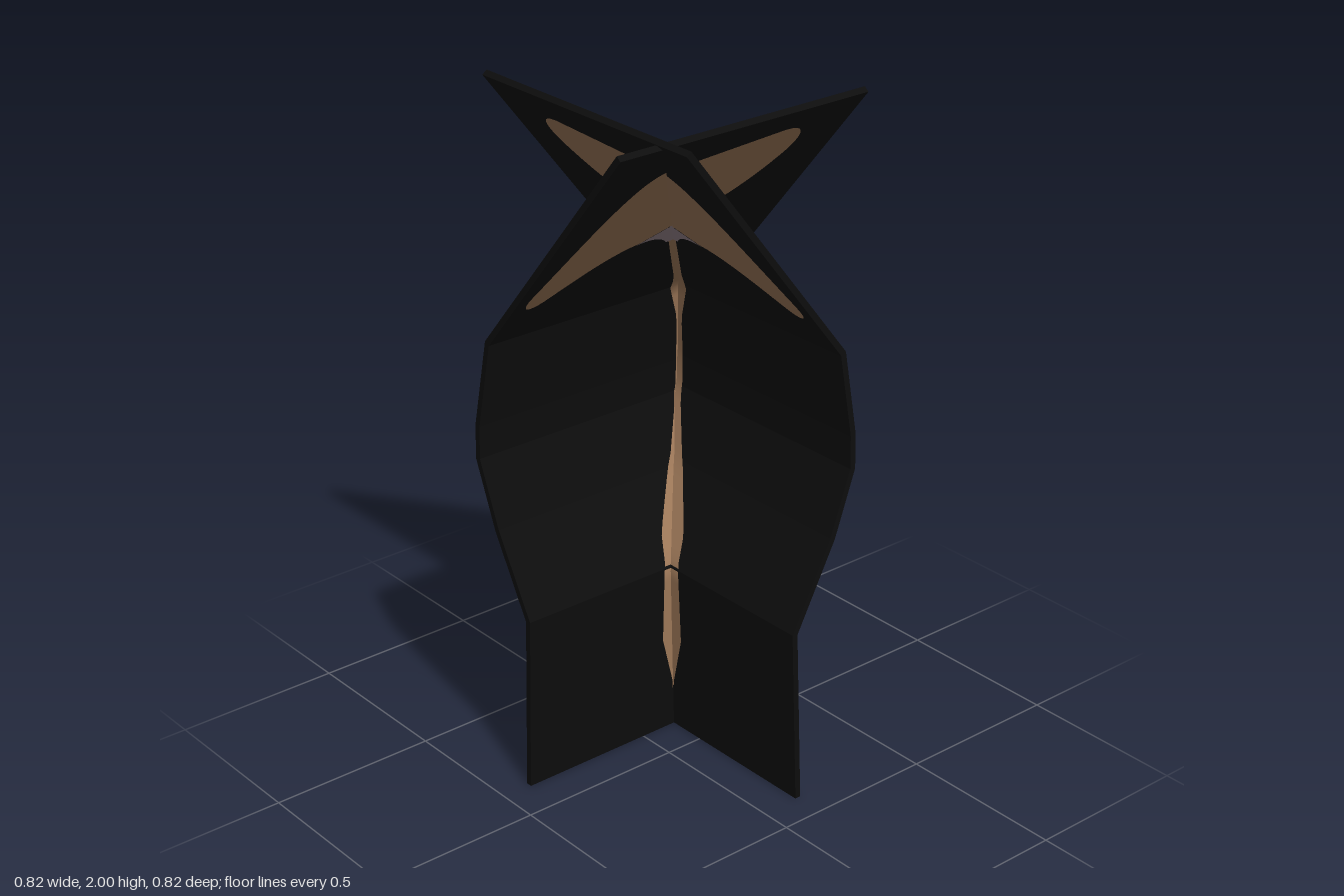
import * as THREE from 'three';

const material = (name, color) => {
  const m = new THREE.MeshStandardMaterial({ color, side: THREE.DoubleSide });
  m.name = name;
  return m;
};

// Bend of each card as [sideways, height]
const PROFILE_SIDE = [[0.125, 0], [0.1, 0.53], [0.23, 0.78], [0.297, 0.97], [0.295, 1.07], [0.25, 1.32], [-0.282, 1.993]];
const PROFILE_FRONT = [[0.125, 0], [0.11, 0.53], [0.24, 0.76], [0.318, 0.95], [0.315, 1.05], [0.26, 1.31], [-0.3, 1.98]];
const HALF_THICK = 0.009;
const HALF_WIDTH = 0.41;

// Stem rows: height, left edge, right edge
const STEM = [
  [0.11, 0.115, 0.13], [0.3, 0.065, 0.132], [0.52, 0.066, 0.128], [0.62, 0.095, 0.17], [0.8, 0.21, 0.28],
  [0.95, 0.28, 0.338], [1.05, 0.28, 0.333], [1.2, 0.255, 0.31], [1.35, 0.195, 0.265], [1.5, 0.075, 0.16], [1.62, -0.02, 0.07],
];

// Linear interpolation in a table sorted by column `key`
function lookUp(table, key, value, col) {
  let i = 1;
  while (i < table.length - 1 && table[i][key] < value) i++;
  const a = table[i - 1], b = table[i];
  return a[col] + (b[col] - a[col]) * (value - a[key]) / (b[key] - a[key]);
}

// Profile moved along its normals by d
function offset(points, d) {
  const dir = (a, b) => new THREE.Vector2(b[0] - a[0], b[1] - a[1]).normalize();
  return points.map((p, i) => {
    const before = i > 0 ? dir(points[i - 1], p) : dir(p, points[1]);
    const after = i < points.length - 1 ? dir(p, points[i + 1]) : before;
    const t = before.clone().add(after).normalize();
    const k = d / t.dot(before);
    return [p[0] + t.y * k, i === 0 ? 0 : p[1] - t.x * k];
  });
}

// Cap outline, in width and height
function capShape() {
  const s = new THREE.Shape();
  s.moveTo(-0.19, 1.88);
  s.lineTo(0.17, 1.913);
  s.bezierCurveTo(0.25, 1.915, 0.27, 1.86, 0.225, 1.8);
  s.bezierCurveTo(0.18, 1.73, 0.12, 1.69, 0.075, 1.665);
  s.lineTo(0.0, 1.63);
  s.lineTo(-0.09, 1.585);
  s.bezierCurveTo(-0.18, 1.57, -0.25, 1.5, -0.3, 1.46);
  s.bezierCurveTo(-0.35, 1.41, -0.39, 1.43, -0.375, 1.48);
  s.bezierCurveTo(-0.34, 1.6, -0.31, 1.74, -0.27, 1.81);
  s.quadraticCurveTo(-0.24, 1.87, -0.19, 1.88);
  return s;
}

// Gills below the cap, around the top of the stem
function gillShape() {
  const s = new THREE.Shape();
  s.moveTo(-0.1, 1.583);
  s.quadraticCurveTo(-0.03, 1.6, 0.02, 1.555);
  s.lineTo(0.09, 1.565);
  s.quadraticCurveTo(0.06, 1.61, 0.078, 1.667);
  s.lineTo(0, 1.632);
  return s;
}

// Flat strip for the stem
function stemGeometry() {
  const rows = 48;
  const g = new THREE.PlaneGeometry(1, 1, 1, rows);
  const p = g.attributes.position;
  for (let i = 0; i < p.count; i++) {
    const y = 0.11 + (p.getY(i) + 0.5) * 1.51;
    p.setXY(i, lookUp(STEM, 0, y, p.getX(i) < 0 ? 1 : 2), y);
  }
  return g;
}

// Move every vertex by a rule
function remap(geometry, rule) {
  const p = geometry.attributes.position;
  for (let i = 0; i < p.count; i++) p.setXYZ(i, ...rule(p.getX(i), p.getY(i), p.getZ(i)));
  geometry.computeVertexNormals();
  return geometry;
}

// A bent card with the mushroom painted on both faces; place(u, y, s) sets it in space
function bentCard(name, profile, place, mats) {
  const group = new THREE.Group();
  group.name = name;
  const add = (part, geometry, mat) => {
    const mesh = new THREE.Mesh(geometry, mat);
    mesh.name = part;
    group.add(mesh);
  };

  const outline = [...offset(profile, HALF_THICK), ...offset(profile, -HALF_THICK).reverse()];
  const section = new THREE.Shape(outline.map(([s, y]) => new THREE.Vector2(s, y)));
  const sheet = new THREE.ExtrudeGeometry(section, { depth: HALF_WIDTH * 2, bevelEnabled: false });
  add('sheet', remap(sheet, (s, y, d) => place(d - HALF_WIDTH, y, s)), mats.sheet);

  for (const side of [-1, 1]) {
    const paint = (geometry, lift) => {
      const face = offset(profile, side * (HALF_THICK + lift));
      return remap(geometry, (u, y) => place(u, y, lookUp(face, 1, y, 0)));
    };
    add('cap', paint(new THREE.ShapeGeometry(capShape(), 10), 0.003), mats.cap);
    add('stem', paint(stemGeometry(), 0.003), mats.cap);
    add('gills', paint(new THREE.ShapeGeometry(gillShape(), 8), 0.005), mats.gills);
  }
  return group;
}

export function createModel() {
  const mats = {
    sheet: material('black', 0x0d0d0d),
    cap: material('tan', 0xa07a5a),
    gills: material('mauve grey', 0x95838a),
  };
  const model = new THREE.Group();
  model.name = 'crossedMushroomCards';
  model.add(
    bentCard('frontCard', PROFILE_FRONT, (u, y, s) => [u, y, -s], mats),
    bentCard('sideCard', PROFILE_SIDE, (u, y, s) => [s, y, -u], mats),
  );
  return model;
}
